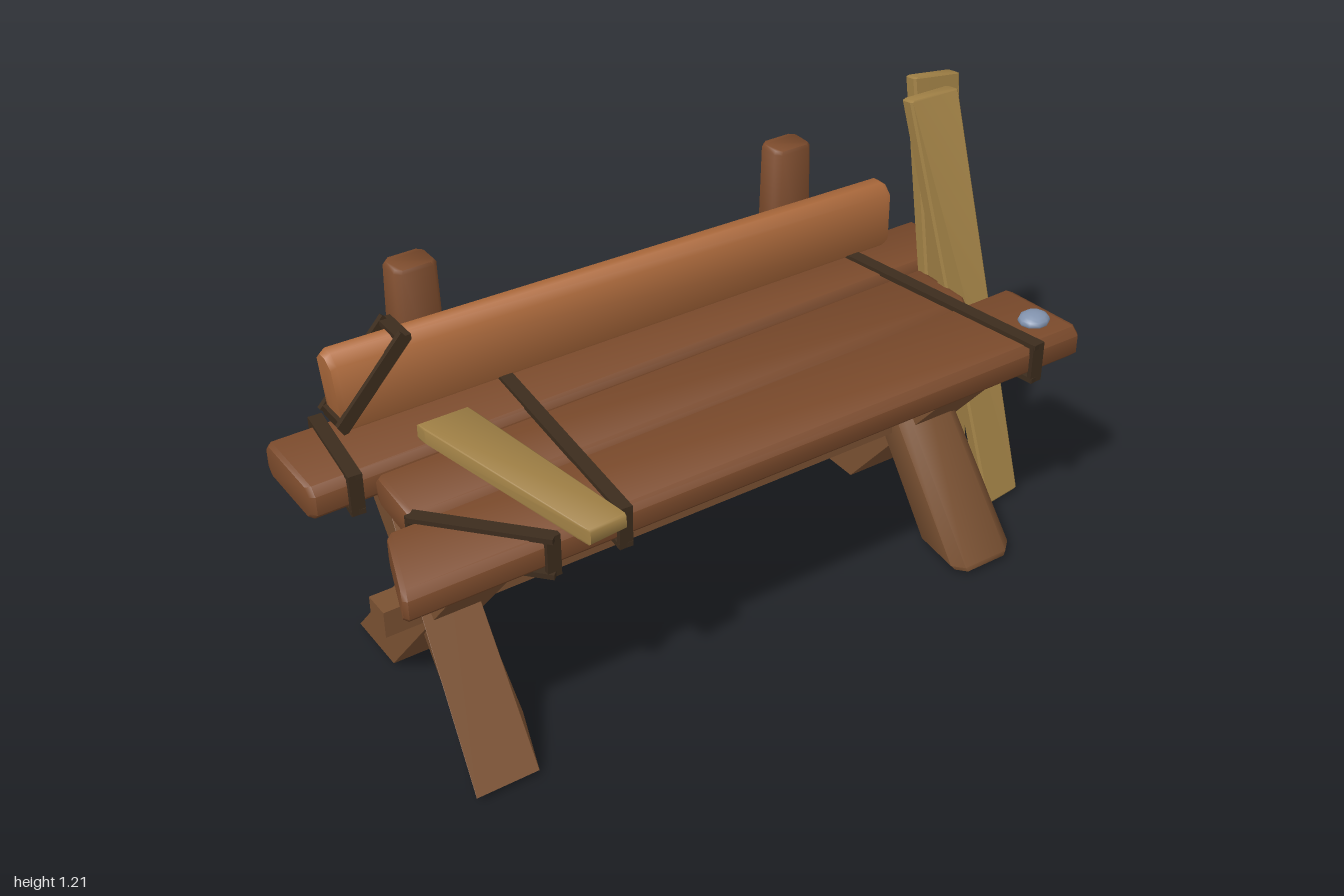
import * as THREE from 'three';
import { mergeGeometries, toCreasedNormals } from 'three/addons/utils/BufferGeometryUtils.js';

const material = (name, color) => {
  const m = new THREE.MeshStandardMaterial({ color });
  m.name = name;
  return m;
};
const V = (p) => new THREE.Vector3(...p);

// Chamfered timber between two four-cornered ends; c is the chamfer, crease the smoothing angle
function timberGeometry(endA, endB, c, crease) {
  const a = endA.map(V), b = endB.map(V);
  const ring = (t, shrink) => {
    const q = a.map((p, i) => p.clone().lerp(b[i], t));
    const mid = new THREE.Vector3();
    q.forEach((p) => mid.addScaledVector(p, 0.25));
    const pts = [];
    q.forEach((p, i) => {
      for (const other of [q[(i + 3) % 4], q[(i + 1) % 4]]) {
        const d = other.clone().sub(p);
        pts.push(p.clone().addScaledVector(d, Math.min(c / d.length(), 0.4)));
      }
    });
    return pts.map((p) => p.lerp(mid, shrink));
  };
  const length = a[0].distanceTo(b[0]);
  const e = Math.min((c * 0.6) / length, 0.2);
  const rings = [ring(0, 0.1), ring(e, 0), ring(1 - e, 0), ring(1, 0.1)];
  if (c < 0.003) { rings[0] = ring(0, 0); rings[3] = ring(1, 0); }
  const pts = rings.flat(), tris = [];
  for (let r = 0; r < 3; r++) {
    for (let i = 0; i < 8; i++) {
      const p = r * 8 + i, q = r * 8 + ((i + 1) % 8);
      tris.push([p, q, q + 8], [p, q + 8, p + 8]);
    }
  }
  for (let i = 1; i < 7; i++) tris.push([0, i + 1, i], [24, 24 + i, 25 + i]);
  // Make the faces point outwards
  let volume = 0;
  for (const [i, j, k] of tris) volume += pts[i].dot(pts[j].clone().cross(pts[k]));
  const index = tris.flatMap(([i, j, k]) => (volume > 0 ? [i, j, k] : [i, k, j]));
  const g = new THREE.BufferGeometry().setFromPoints(pts);
  g.setIndex(index);
  return toCreasedNormals(g, crease);
}

// Strap made of thin bars around a closed loop; each bar has its own outward normal
function strapGeometry(points, normals, width = 0.036, thick = 0.014) {
  const bars = points.map((p, i) => {
    const a = V(p), b = V(points[(i + 1) % points.length]);
    const d = b.clone().sub(a), len = d.length();
    d.normalize();
    const side = V(normals[i]).cross(d).normalize();
    const up = d.clone().cross(side);
    const g = new THREE.BoxGeometry(width, thick, len + thick);
    g.applyMatrix4(new THREE.Matrix4().makeBasis(side, up, d).setPosition(a.add(b).multiplyScalar(0.5)));
    return g;
  });
  return mergeGeometries(bars);
}

export function createModel() {
  const model = new THREE.Group();
  model.name = 'bench';
  const seatWood = material('seat wood', 0x7c4b2c);
  const legWood = material('leg wood', 0x7a5132);
  const backWood = material('backrest wood', 0xb06c3d);
  const paleWood = material('pale wood', 0xa18146);
  const strapLeather = material('strap', 0x3c2c1d);
  const stoneBlue = material('stone', 0x8293ae);

  const add = (name, geometry, mat) => {
    const mesh = new THREE.Mesh(geometry, mat);
    mesh.name = name;
    model.add(mesh);
    return mesh;
  };
  const timber = (name, mat, endA, endB, c = 0.001, crease = 0.5) =>
    add(name, timberGeometry(endA, endB, c, crease), mat);

  // Seat planks: ends given as back and front [x, z]
  const plank = (name, mat, [lb, lf, rb, rf], y0, y1, c) => {
    const end = (b, f) => [[b[0], y0, b[1]], [b[0], y1, b[1]], [f[0], y1, f[1]], [f[0], y0, f[1]]];
    return timber(name, mat, end(lb, lf), end(rb, rf), c, 1);
  };
  plank('frontSeatPlank', seatWood, [[-0.92, 0.11], [-1, 0.345], [0.94, 0.07], [0.965, 0.345]], 0.58, 0.67, 0.02);
  plank('middleSeatPlank', seatWood, [[-0.84, -0.11], [-0.85, 0.105], [0.82, -0.15], [0.82, 0.07]], 0.585, 0.665, 0.02);
  plank('rearSeatPlank', seatWood, [[-1, -0.37], [-1, -0.11], [0.975, -0.365], [0.925, -0.15]], 0.58, 0.672, 0.02);

  // Backrest, slightly higher at one end
  const backEnd = (x0, x1, top) => [[x0, 0.66, -0.36], [x1, top, -0.36], [x1, top, -0.275], [x0, 0.66, -0.275]];
  timber('backrest', backWood, backEnd(-0.83, -0.85, 0.89), backEnd(0.82, 0.82, 0.86), 0.026, 1);

  // Back posts
  for (const x of [-0.57, 0.545]) {
    const end = (y, w) => [[x - w, y, -0.435], [x + w, y, -0.435], [x + w, y, -0.348], [x - w, y, -0.348]];
    timber('backPost', seatWood, end(0.54, 0.07), end(1.015, 0.057), 0.015, 1);
  }

  // Crossed legs: ends given as [x, z] corners
  const leg = (name, bottom, top, c, crease) =>
    timber(name, legWood, bottom.map(([x, z]) => [x, 0.018, z]), top.map(([x, z]) => [x, 0.585, z]), c, crease);
  for (const [x0, x1] of [[-0.81, -0.65], [0.65, 0.82]]) {
    leg('rearFootLeg', [[x0, -0.37], [x1, -0.37], [x1, -0.18], [x0, -0.18]],
      [[x0, 0.11], [x1, 0.11], [x1, 0.285], [x0, 0.285]]);
  }
  leg('frontFootLeg', [[-0.87, 0.36], [-0.7, 0.36], [-0.63, 0.16], [-0.8, 0.16]],
    [[-0.81, -0.13], [-0.67, -0.13], [-0.65, -0.31], [-0.79, -0.31]]);
  leg('frontFootLeg', [[0.6, 0.36], [0.8, 0.36], [0.82, 0.16], [0.62, 0.16]],
    [[0.62, -0.13], [0.8, -0.13], [0.82, -0.31], [0.64, -0.31]], 0.03, 1);

  // Stretcher joining the legs
  add('stretcher', new THREE.BoxGeometry(1.79, 0.075, 0.075).translate(-0.015, 0.328, -0.014), legWood);

  // Loose board lying on the seat
  plank('looseBoard', paleWood, [[-0.7, -0.16], [-0.58, 0.43], [-0.56, -0.16], [-0.475, 0.42]], 0.677, 0.72, 0.006);

  // Two boards leaning through the gap at the end of the seat
  const leaning = (bottom, top) => {
    const end = ([xa, ya, xb, yb, z]) => [[xa, ya, z - 0.02], [xb, yb, z - 0.02], [xb, yb + 0.006, z + 0.02], [xa, ya + 0.006, z + 0.02]];
    timber('leaningBoard', paleWood, end(bottom), end(top), 0.006);
  };
  leaning([0.89, 0, 1, 0.018, 0.118], [0.75, 1.172, 0.91, 1.17, -0.155]);
  leaning([0.83, 0.012, 0.935, 0.025, -0.025], [0.8, 1.207, 0.955, 1.185, -0.205]);

  // Straps around the seat: [x, z] at the back and at the front
  const up = [0, 1, 0], down = [0, -1, 0], fore = [0, 0, 1], aft = [0, 0, -1];
  const seatStraps = [
    [[-0.38, -0.375], [-0.44, 0.35]],
    [[0.685, -0.372], [0.805, 0.35]],
    [[-0.86, -0.375], [-0.89, -0.107]],
    [[-0.85, 0.108], [-0.63, 0.35]],
  ];
  for (const [[bx, bz], [fx, fz]] of seatStraps) {
    add('seatStrap', strapGeometry(
      [[bx, 0.675, bz], [fx, 0.675, fz], [fx, 0.576, fz], [bx, 0.576, bz]],
      [up, fore, down, aft]), strapLeather);
  }

  // Diagonal strap around the corner of the backrest
  add('backrestStrap', strapGeometry(
    [[-0.66, 0.89, -0.366], [-0.66, 0.89, -0.27], [-0.835, 0.7, -0.27], [-0.835, 0.7, -0.366]],
    [up, fore, [-1, -0.2, 0], aft]), strapLeather);

  // Small rounded stone on the seat
  const stone = add('stone', new THREE.SphereGeometry(1, 10, 8), stoneBlue);
  stone.scale.set(0.044, 0.022, 0.04);
  stone.position.set(0.883, 0.676, 0.25);

  return model;
}
